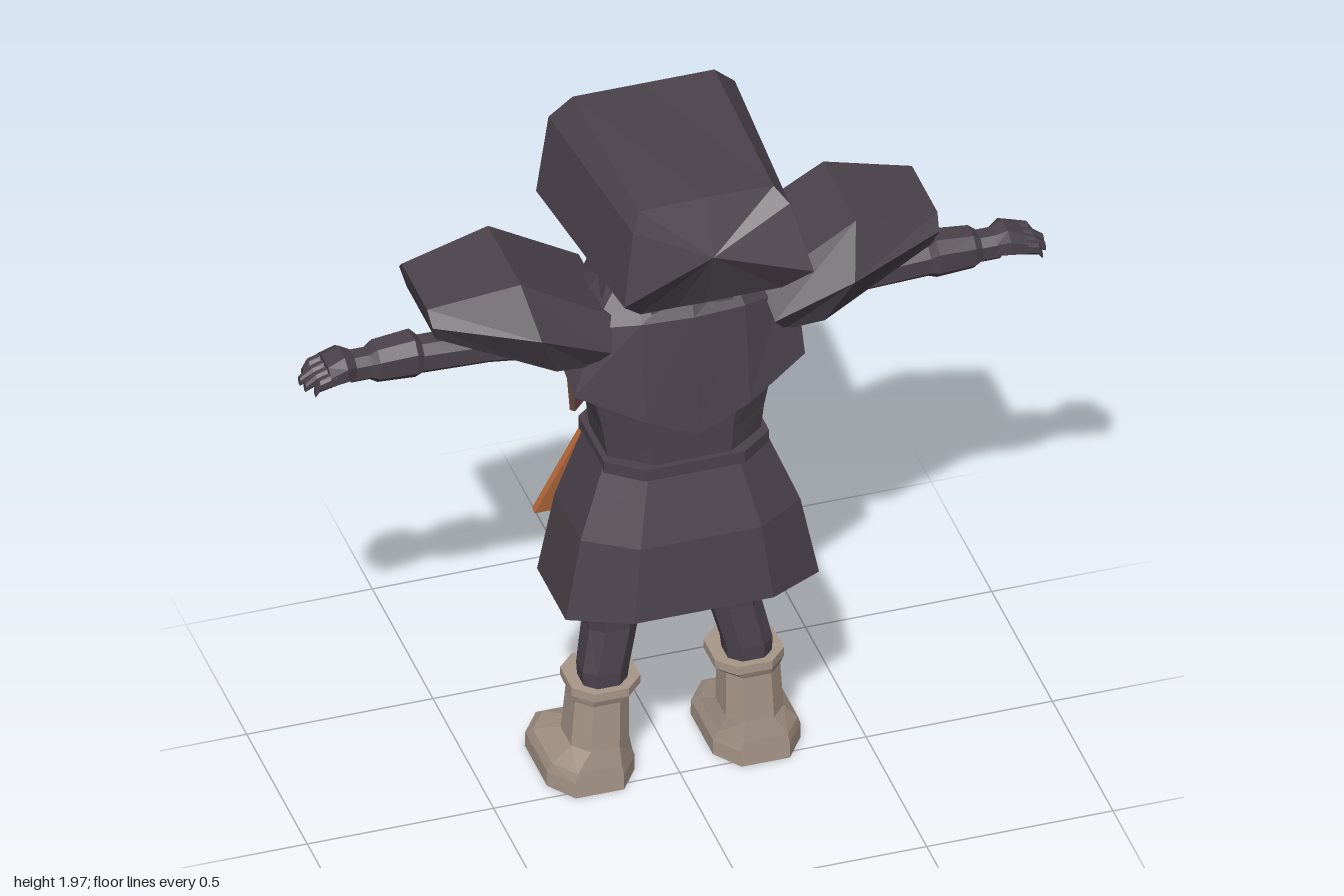
import * as THREE from 'three';

const mat = (name, color, double) => {
  const m = new THREE.MeshStandardMaterial({ color, flatShading: true });
  m.name = name;
  if (double) m.side = THREE.DoubleSide;
  return m;
};

// Skin a list of equal-length rings; winding is corrected so faces point outward.
function loft(rings, capStart = true, capEnd = true, tips = []) {
  const tris = [];
  const n = rings[0].length;
  const mean = (r) => [0, 1, 2].map((k) => r.reduce((s, p) => s + p[k], 0) / r.length);
  for (let i = 0; i < rings.length - 1; i++) {
    for (let j = 0; j < n; j++) {
      const k = (j + 1) % n, a = rings[i], b = rings[i + 1];
      tris.push([a[j], a[k], b[k]], [a[j], b[k], b[j]]);
    }
  }
  const cap = (r, tip, flip) => {
    const c = tip || mean(r);
    for (let j = 0; j < n; j++) {
      const k = (j + 1) % n;
      tris.push(flip ? [c, r[k], r[j]] : [c, r[j], r[k]]);
    }
  };
  if (capStart) cap(rings[0], tips[0], true);
  if (capEnd) cap(rings[rings.length - 1], tips[1], false);
  const o = new THREE.Vector3(...mean(rings.flat()));
  const v = (p) => new THREE.Vector3(...p).sub(o);
  const volume = tris.reduce((s, t) => s + v(t[0]).dot(v(t[1]).cross(v(t[2]))), 0);
  if (volume < 0) tris.forEach((t) => t.reverse());
  const g = new THREE.BufferGeometry();
  g.setAttribute('position', new THREE.Float32BufferAttribute(tris.flat(2), 3));
  g.computeVertexNormals();
  return g;
}

// Closed ring from a half outline that starts and ends on x = 0
const sym = (half) => half.concat(half.slice(1, -1).reverse().map(([x, y, z]) => [-x, y, z]));
// Chamfered rectangle corners
const octagon = (rx, rz, c) => [[c, 1], [1, c], [1, -c], [c, -1], [-c, -1], [-1, -c], [-1, c], [-c, 1]]
  .map(([u, w]) => [u * rx, w * rz]);
// Horizontal ring between x0..x1 and z0..z1 at height y
const flat = (y, x0, x1, z0, z1, c = 0.5) => octagon((x1 - x0) / 2, (z1 - z0) / 2, c)
  .map(([u, w]) => [(x0 + x1) / 2 + u, y, (z0 + z1) / 2 + w]);
// Upright ring at distance x along an arm
const upright = (x, y0, y1, z0, z1, c = 0.5) => octagon((y1 - y0) / 2, (z1 - z0) / 2, c)
  .map(([u, w]) => [x, (y0 + y1) / 2 + u, (z0 + z1) / 2 + w]);

export function createModel() {
  const root = new THREE.Group();
  root.name = 'hoodedFigure';
  const cloth = mat('dark cloth', 0x4b424c, true);
  const leather = mat('boot leather', 0xa99789);
  const orange = mat('orange trim', 0xbf6f40);
  const brown = mat('brown panel', 0x5f4038, true);
  const strap = mat('brown strap', 0x6e4b42, true);
  const metal = mat('buckle', 0x988b7f);
  const add = (name, geo, m, parent = root) => {
    const mesh = new THREE.Mesh(geo, m);
    mesh.name = name;
    parent.add(mesh);
    return mesh;
  };
  const mirror = (rings, s) => rings.map((r) => r.map(([x, y, z]) => [x * s, y, z]));

  // Deep hood, open towards -z
  add('hood', loft([
    sym([[0, 1.97, -0.3], [0.19, 1.97, -0.3], [0.25, 1.91, -0.315], [0.295, 1.71, -0.28],
      [0.2, 1.61, -0.3], [0.09, 1.57, -0.32], [0, 1.56, -0.33]]),
    sym([[0, 1.97, 0.22], [0.18, 1.965, 0.22], [0.21, 1.93, 0.26], [0.255, 1.75, 0.325],
      [0.19, 1.67, 0.26], [0.08, 1.64, 0.22], [0, 1.63, 0.21]]),
  ], false, true, [null, [0, 1.82, 0.28]]), cloth);

  // Neck and collar
  add('neck', loft([flat(1.45, -0.12, 0.12, -0.15, 0.06), flat(1.66, -0.11, 0.11, -0.14, 0.06)]), cloth);
  add('collar', loft([flat(1.54, -0.215, 0.215, -0.23, 0.1), flat(1.6, -0.2, 0.2, -0.2, 0.08),
    flat(1.61, -0.15, 0.15, -0.16, 0.06)], false, true), cloth);

  // Pointed shoulder mantle
  add('mantle', loft([
    sym([[0, 1.18, 0.16], [0.14, 1.24, 0.15], [0.31, 1.31, 0.08], [0.33, 1.42, -0.05],
      [0.3, 1.35, -0.2], [0.15, 1.28, -0.28], [0, 1.24, -0.3]]),
    sym([[0, 1.52, 0.12], [0.14, 1.52, 0.11], [0.25, 1.5, 0.06], [0.26, 1.5, -0.05],
      [0.24, 1.5, -0.17], [0.13, 1.51, -0.24], [0, 1.51, -0.25]]),
    sym([[0, 1.6, 0.07], [0.12, 1.59, 0.06], [0.18, 1.59, 0.02], [0.2, 1.59, -0.05],
      [0.18, 1.59, -0.14], [0.1, 1.59, -0.19], [0, 1.59, -0.2]]),
  ], false, false), cloth);

  // Torso, belt and skirt
  add('torso', loft([flat(1.02, -0.2, 0.2, -0.19, 0.11), flat(1.14, -0.215, 0.215, -0.19, 0.11),
    flat(1.28, -0.245, 0.245, -0.2, 0.11), flat(1.48, -0.24, 0.24, -0.19, 0.1)]), cloth);
  add('belt', loft([flat(1.035, -0.222, 0.222, -0.225, 0.125, 0.6), flat(1.07, -0.222, 0.222, -0.225, 0.125, 0.6)]), cloth);
  const hem = flat(0.64, -0.34, 0.34, -0.23, 0.2, 0.55)
    .map(([x, y, z]) => [x, Math.abs(x) > 0.3 ? 0.63 : 0.65, z]);
  add('skirt', loft([hem, flat(0.86, -0.295, 0.295, -0.215, 0.175, 0.55),
    flat(1.05, -0.22, 0.22, -0.195, 0.115, 0.55)], false, false), cloth);
  add('buckle', new THREE.BoxGeometry(0.13, 0.06, 0.03), metal).position.set(0, 1.035, -0.235);

  // Trimmed apron hanging at an angle from the belt
  const trapezoid = (top, bottom, h) => new THREE.Shape([[-bottom, -h], [bottom, -h], [top, 0], [-top, 0]]
    .map(([x, y]) => new THREE.Vector2(x, y)));
  const apron = new THREE.Group();
  apron.name = 'apron';
  apron.position.set(0, 1.0, -0.205);
  apron.rotation.x = 0.27;
  add('apronTrim', new THREE.ExtrudeGeometry(trapezoid(0.185, 0.295, 0.33), { depth: 0.02, bevelEnabled: false }),
    orange, apron).position.z = -0.02;
  add('apronPanel', new THREE.ExtrudeGeometry(trapezoid(0.155, 0.255, 0.318), { depth: 0.006, bevelEnabled: false }),
    brown, apron).position.z = -0.026;
  root.add(apron);

  // Orange clasp strip on the chest
  const clasp = add('clasp', new THREE.BoxGeometry(0.2, 0.035, 0.02), orange);
  clasp.position.set(0.22, 1.54, -0.265);

  const strapShape = new THREE.Shape([[-0.035, 0], [0.035, 0], [0.05, 0.1], [0.04, 0.24], [-0.04, 0.24], [-0.05, 0.1]]
    .map(([x, y]) => new THREE.Vector2(x, y)));

  for (const s of [1, -1]) {
    const side = s > 0 ? 'left' : 'right';
    const part = (name, rings, m) => add(side + name, loft(mirror(rings, s)), m);

    // Angular shoulder guard
    part('ShoulderGuard', [
      [[0.2, 1.53, 0.06], [0.2, 1.53, -0.22], [0.22, 1.48, -0.27], [0.26, 1.4, -0.23], [0.26, 1.39, 0.07], [0.22, 1.45, 0.11]],
      [[0.45, 1.69, 0.07], [0.45, 1.69, -0.2], [0.42, 1.58, -0.27], [0.38, 1.42, -0.22], [0.36, 1.41, 0.09], [0.42, 1.56, 0.155]],
      [[0.685, 1.63, 0.02], [0.685, 1.63, -0.19], [0.682, 1.6, -0.22], [0.665, 1.54, -0.21], [0.665, 1.54, 0.03], [0.68, 1.59, 0.05]],
    ], cloth);

    // Sleeve, forearm and cuff
    part('Arm', [upright(0.22, 1.36, 1.48, -0.12, 0.02), upright(0.5, 1.385, 1.475, -0.11, -0.01),
      upright(0.68, 1.39, 1.48, -0.105, -0.015), upright(0.7, 1.385, 1.5, -0.115, -0.005),
      upright(0.8, 1.39, 1.49, -0.11, -0.01), upright(0.82, 1.4, 1.475, -0.1, -0.02),
      upright(0.87, 1.4, 1.475, -0.1, -0.02)], cloth);

    // Hand with four curled fingers and a thumb
    part('Palm', [upright(0.86, 1.41, 1.475, -0.1, -0.02), upright(0.89, 1.415, 1.49, -0.115, 0),
      upright(0.935, 1.415, 1.47, -0.115, 0.002)], cloth);
    for (let i = 0; i < 4; i++) {
      const z = -0.102 + i * 0.03, end = [0.98, 0.998, 0.993, 0.975][i];
      part('Finger', [upright(0.92, 1.425, 1.465, z - 0.014, z + 0.014), upright(0.965, 1.415, 1.45, z - 0.014, z + 0.014),
        upright(end, 1.4, 1.425, z - 0.01, z + 0.01)], cloth);
    }
    part('Thumb', [upright(0.88, 1.42, 1.455, -0.12, -0.08), upright(0.915, 1.41, 1.445, -0.14, -0.11),
      upright(0.95, 1.405, 1.43, -0.14, -0.12)], cloth);

    // Leg with the knee pushed towards -z
    part('Leg', [flat(0.28, 0.14, 0.25, -0.1, 0.01), flat(0.36, 0.13, 0.255, -0.1, 0.01),
      flat(0.48, 0.1, 0.23, -0.135, -0.005), flat(0.53, 0.095, 0.24, -0.16, -0.005),
      flat(0.6, 0.07, 0.265, -0.165, 0.015), flat(0.85, 0.04, 0.22, -0.16, 0.06)], cloth);

    // Boot
    part('Boot', [flat(0, 0.105, 0.34, -0.31, 0.025, 0.55), flat(0.045, 0.105, 0.34, -0.305, 0.025, 0.55),
      flat(0.075, 0.115, 0.33, -0.265, 0.025, 0.55), flat(0.135, 0.13, 0.285, -0.15, 0.022, 0.5),
      flat(0.28, 0.13, 0.275, -0.135, 0.02, 0.5)], leather);
    part('BootCuff', [flat(0.275, 0.128, 0.277, -0.137, 0.022), flat(0.295, 0.1, 0.285, -0.16, 0.03),
      flat(0.32, 0.1, 0.285, -0.16, 0.03)], leather);

    // Strap plate at the waist
    const plate = add(side + 'Strap', new THREE.ExtrudeGeometry(strapShape, { depth: 0.015, bevelEnabled: false }), strap);
    plate.position.set(s * 0.2, 1.07, -0.2);
    plate.rotation.y = Math.PI - s * 0.8;
  }
  return root;
}
